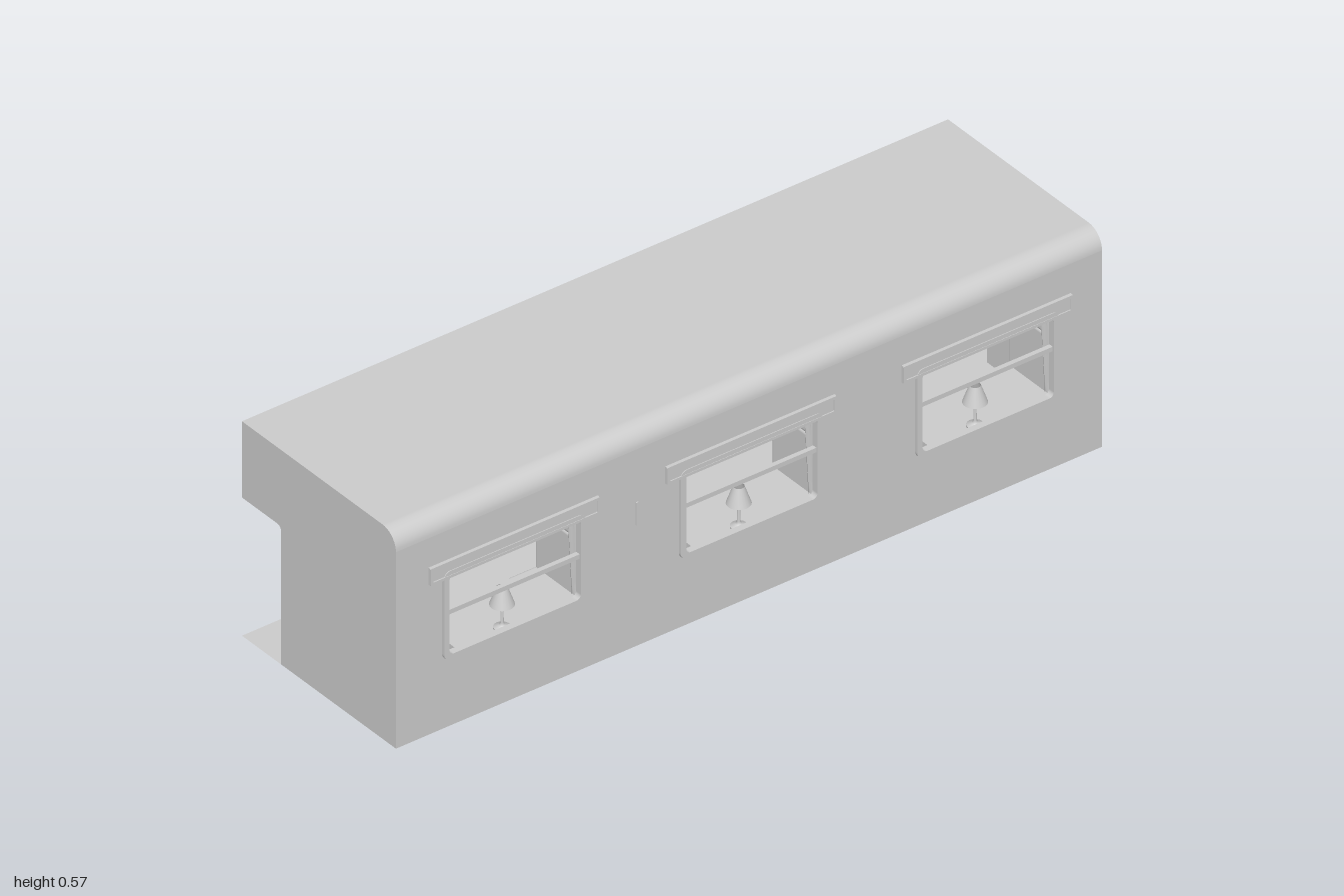
import * as THREE from 'three';
import { RoundedBoxGeometry } from 'three/addons/geometries/RoundedBoxGeometry.js';

const grey = new THREE.MeshStandardMaterial({ color: 0xcccccc });
const skin = new THREE.MeshStandardMaterial({ color: 0xcccccc, side: THREE.DoubleSide });

// main dimensions of the carriage section
const X0 = -1, X1 = 0.96, FRONT = 0.275, BACK = -0.285, DOOR = -0.143;
const FLOOR = 0.002, ROOF = 0.573, DOOR_TOP = 0.37, R = 0.048;
const BAYS = [-0.675, -0.018, 0.638];
const BAR_Y = [0.308, 0.322, 0.322];

function add(parent, name, geometry, x = 0, y = 0, z = 0, material = grey) {
  const mesh = new THREE.Mesh(geometry, material);
  mesh.name = name;
  mesh.position.set(x, y, z);
  parent.add(mesh);
  return mesh;
}

// box given by its limits
function box(parent, name, x0, x1, y0, y1, z0, z1, radius = 0) {
  const s = [x1 - x0, y1 - y0, z1 - z0];
  const g = radius ? new RoundedBoxGeometry(...s, 3, radius) : new THREE.BoxGeometry(...s);
  return add(parent, name, g, (x0 + x1) / 2, (y0 + y1) / 2, (z0 + z1) / 2);
}

// thin sheet: a (z, y) profile swept along x
function sheet(parent, name, pts, x0, x1) {
  const g = new THREE.PlaneGeometry(1, 1, 1, pts.length - 1);
  pts.forEach(([z, y], i) => {
    g.attributes.position.setXYZ(i * 2, x0, y, z);
    g.attributes.position.setXYZ(i * 2 + 1, x1, y, z);
  });
  g.computeVertexNormals();
  return add(parent, name, g, 0, 0, 0, skin);
}

function arc(cz, cy, r, a0, a1, n = 10) {
  return Array.from({ length: n + 1 }, (_, i) => {
    const a = a0 + (a1 - a0) * i / n;
    return [cz + r * Math.cos(a), cy + r * Math.sin(a)];
  });
}

function roundRect(Type, x0, x1, y0, y1, r) {
  const p = new Type();
  p.moveTo(x0 + r, y0);
  p.lineTo(x1 - r, y0);
  p.absarc(x1 - r, y0 + r, r, -Math.PI / 2, 0);
  p.lineTo(x1, y1 - r);
  p.absarc(x1 - r, y1 - r, r, 0, Math.PI / 2);
  p.lineTo(x0 + r, y1);
  p.absarc(x0 + r, y1 - r, r, Math.PI / 2, Math.PI);
  p.lineTo(x0, y0 + r);
  p.absarc(x0 + r, y0 + r, r, Math.PI, Math.PI * 1.5);
  return p;
}

const opening = (c) => roundRect(THREE.Path, c - 0.182, c + 0.182, 0.197, 0.408, 0.012);

function buildShell(group) {
  // side wall with window openings
  const wall = new THREE.Shape();
  wall.moveTo(X0, FLOOR);
  wall.lineTo(X1, FLOOR);
  wall.lineTo(X1, ROOF - R);
  wall.lineTo(X0, ROOF - R);
  BAYS.forEach((c) => wall.holes.push(opening(c)));
  add(group, 'windowWall', new THREE.ShapeGeometry(wall, 4), 0, 0, FRONT, skin);

  const eave = arc(FRONT - R, ROOF - R, R, 0, Math.PI / 2);
  sheet(group, 'roof', [...eave, [BACK, ROOF]], X0, X1);
  sheet(group, 'floor', [[FRONT, FLOOR], [BACK, FLOOR]], X0, X1);

  // end walls, each with a corridor opening at the back
  const corner = arc(DOOR - 0.012, DOOR_TOP - 0.012, 0.012, 0, Math.PI / 2, 5)
    .map(([z, y]) => [2 * (DOOR - 0.012) - z + 0.0, 2 * (DOOR_TOP - 0.012) - y])
    .map(([z, y]) => [z + 0.024, y + 0.024]);
  const passage = [[DOOR, FLOOR], ...corner, [BACK, DOOR_TOP]];
  passage.splice(1, corner.length, ...arc(DOOR - 0.012, DOOR_TOP - 0.012, 0.012, 0, Math.PI / 2, 5));
  const end = new THREE.Shape(
    [[FRONT, FLOOR], ...eave, [BACK, ROOF], ...passage.slice().reverse()]
      .map(([z, y]) => new THREE.Vector2(z, y)));
  for (const x of [X0, X1]) {
    const g = new THREE.ShapeGeometry(end).rotateY(-Math.PI / 2);
    add(group, 'endWall', g, x, 0, 0, skin);
  }

  // short corridor sleeve beyond one end
  sheet(group, 'corridorSleeve', passage, X1, 1);
  sheet(group, 'corridorFloor', [[DOOR, FLOOR], [BACK, FLOOR]], X1, 1);
}

function buildWindow(group, c, barY) {
  const ring = roundRect(THREE.Shape, c - 0.197, c + 0.197, 0.184, 0.42, 0.018);
  ring.holes.push(opening(c));
  const frame = new THREE.ExtrudeGeometry(ring, { depth: 0.018, bevelEnabled: false, curveSegments: 4 });
  add(group, 'windowFrame', frame, 0, 0, FRONT - 0.01);
  box(group, 'windowBar', c - 0.184, c + 0.184, barY - 0.006, barY + 0.006, 0.267, 0.279);

  // raised panel above the window
  box(group, 'blindBox', c - 0.235, c + 0.235, 0.402, 0.447, 0.27, 0.281);
  const rim = roundRect(THREE.Shape, c - 0.235, c + 0.235, 0.402, 0.447, 0.002);
  rim.holes.push(roundRect(THREE.Path, c - 0.228, c + 0.228, 0.409, 0.44, 0.002));
  add(group, 'blindBoxRim', new THREE.ExtrudeGeometry(rim, { depth: 0.004, bevelEnabled: false }), 0, 0, 0.28);

  // pleated curtains, narrower at the top inside edge
  for (const s of [-1, 1]) {
    const g = new THREE.PlaneGeometry(0.04, 0.21, 12, 6);
    const p = g.attributes.position;
    for (let i = 0; i < p.count; i++) {
      const u = p.getX(i) / 0.04 + 0.5, v = p.getY(i) / 0.21 + 0.5;
      p.setX(i, s * (0.212 - u * (0.034 + 0.012 * v)));
      p.setZ(i, 0.006 * Math.sin(u * Math.PI * 6));
    }
    g.computeVertexNormals();
    add(group, 'curtain', g, c, 0.3, 0.257, skin);
  }
}

function buildRack(group, c) {
  for (const z of [0.15, 0.18, 0.21, 0.24, 0.266])
    box(group, 'rackRail', c - 0.2, c + 0.2, 0.405, 0.411, z - 0.003, z + 0.003);
  for (let i = 0; i < 5; i++) {
    const x = c - 0.197 + i * 0.0985;
    box(group, 'rackBracket', x - 0.003, x + 0.003, 0.401, 0.407, 0.147, FRONT);
  }
  box(group, 'rackLip', c - 0.2, c + 0.2, 0.422, 0.427, 0.147, 0.152);
  for (const s of [-1, 1])
    box(group, 'rackPost', c + s * 0.197 - 0.003, c + s * 0.197 + 0.003, 0.405, 0.427, 0.147, 0.152);
}

function buildTable(group, c) {
  const top = roundRect(THREE.Shape, c - 0.13, c + 0.13, -0.272, 0, 0.015);
  const g = new THREE.ExtrudeGeometry(top, { depth: 0.012, bevelEnabled: false, curveSegments: 4 });
  add(group, 'tableTop', g.rotateX(-Math.PI / 2), c, 0.157, 0).position.x = 0;
  for (const z of [0.068, 0.215])
    box(group, 'tableLeg', c - 0.012, c + 0.012, 0, 0.158, z - 0.012, z + 0.012);

  // table lamp
  const base = [[0, 0], [0.02, 0], [0.02, 0.004], [0.008, 0.009], [0.004, 0.015], [0.003, 0.085], [0, 0.085]];
  add(group, 'lampStand', new THREE.LatheGeometry(base.map((p) => new THREE.Vector2(...p)), 16), c, 0.169, 0.235);
  add(group, 'lampShade', new THREE.CylinderGeometry(0.013, 0.029, 0.045, 20, 1, true), c, 0.255, 0.235, skin);
}

function buildSeat(group, c, s) {
  const part = (name, a, b, y0, y1, z0, z1, r) =>
    box(group, name, Math.min(c + s * a, c + s * b), Math.max(c + s * a, c + s * b), y0, y1, z0, z1, r);
  part('seatPanel', 0.304, 0.32, 0, 0.3, 0, 0.272);
  part('seatBack', 0.265, 0.308, 0.09, 0.255, 0.006, 0.27, 0.008);
  part('headRoll', 0.26, 0.308, 0.255, 0.305, 0.006, 0.27, 0.012);
  part('seatBase', 0.15, 0.305, 0.04, 0.065, 0.008, 0.27);
  part('seatCushion', 0.132, 0.3, 0.06, 0.102, 0.004, 0.27, 0.01);
}

export function createModel() {
  const model = new THREE.Group();
  model.name = 'diningCarriage';
  const shell = new THREE.Group();
  shell.name = 'shell';
  model.add(shell);
  buildShell(shell);

  // three identical dining bays
  BAYS.forEach((c, i) => {
    const bay = new THREE.Group();
    bay.name = 'diningBay';
    model.add(bay);
    buildWindow(bay, c, BAR_Y[i]);
    buildRack(bay, c);
    buildTable(bay, c);
    for (const s of [-1, 1]) buildSeat(bay, c, s);
  });
  // small handle plate on the window wall
  box(model, 'wallPlate', -0.335, -0.328, 0.325, 0.385, 0.27, 0.278);
  return model;
}
